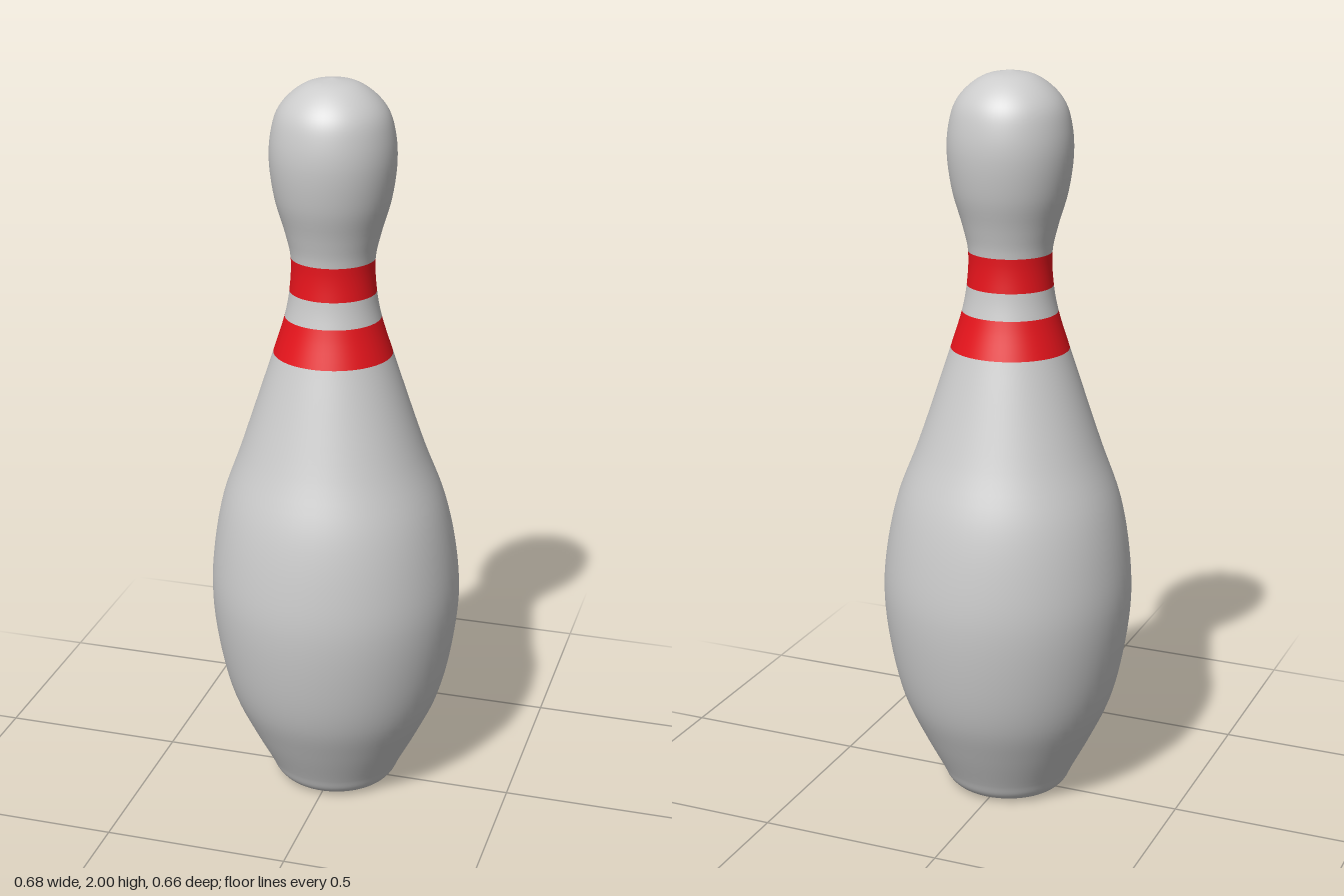
import * as THREE from 'three';

// Profile knots from the base centre to the crown: [radius, height]
const KNOTS = [
  [0, 0], [0.1, 0.003], [0.148, 0.007], [0.168, 0.024], [0.186, 0.06], [0.238, 0.16], [0.288, 0.27],
  [0.321, 0.4], [0.341, 0.57], [0.333, 0.7], [0.304, 0.85], [0.249, 1.0], [0.182, 1.2],
  [0.159, 1.27], [0.128, 1.37], [0.115, 1.44], [0.111, 1.53],
  [0.126, 1.6], [0.152, 1.69], [0.165, 1.79], [0.16, 1.86], [0.144, 1.915],
  [0.113, 1.955], [0.065, 1.987], [0, 2],
];
const STEPS = 5; // samples between knots
const curve = new THREE.CatmullRomCurve3(KNOTS.map(([r, y]) => new THREE.Vector3(r, y, 0)));

const white = new THREE.MeshStandardMaterial({ color: 0xcccccc });
const red = new THREE.MeshStandardMaterial({ color: 0xe8141c });

// Turned section between two knots, slightly oval, with the neck and head a touch off centre
function section(name, from, to, material) {
  const points = [];
  for (let i = from * STEPS; i <= to * STEPS; i++) {
    const p = curve.getPoint(i / (STEPS * (KNOTS.length - 1)));
    points.push(new THREE.Vector2(Math.max(0, p.x), p.y));
  }
  const geometry = new THREE.LatheGeometry(points, 64);
  geometry.scale(1, 1, 0.97);
  const pos = geometry.attributes.position;
  for (let i = 0; i < pos.count; i++) {
    const lean = THREE.MathUtils.smoothstep(pos.getY(i), 0.55, 1.1);
    pos.setX(i, pos.getX(i) - 0.008 * lean);
    pos.setZ(i, pos.getZ(i) - 0.002 * lean);
  }
  const mesh = new THREE.Mesh(geometry, material);
  mesh.name = name;
  return mesh;
}

export function createModel() {
  const pin = new THREE.Group();
  pin.name = 'bowlingPin';
  const at = (y) => KNOTS.findIndex((k) => k[1] === y);
  pin.add(
    section('body', 0, at(1.27), white),
    section('lowerStripe', at(1.27), at(1.37), red),
    section('neck', at(1.37), at(1.44), white),
    section('upperStripe', at(1.44), at(1.53), red),
    section('head', at(1.53), KNOTS.length - 1, white),
  );
  return pin;
}
